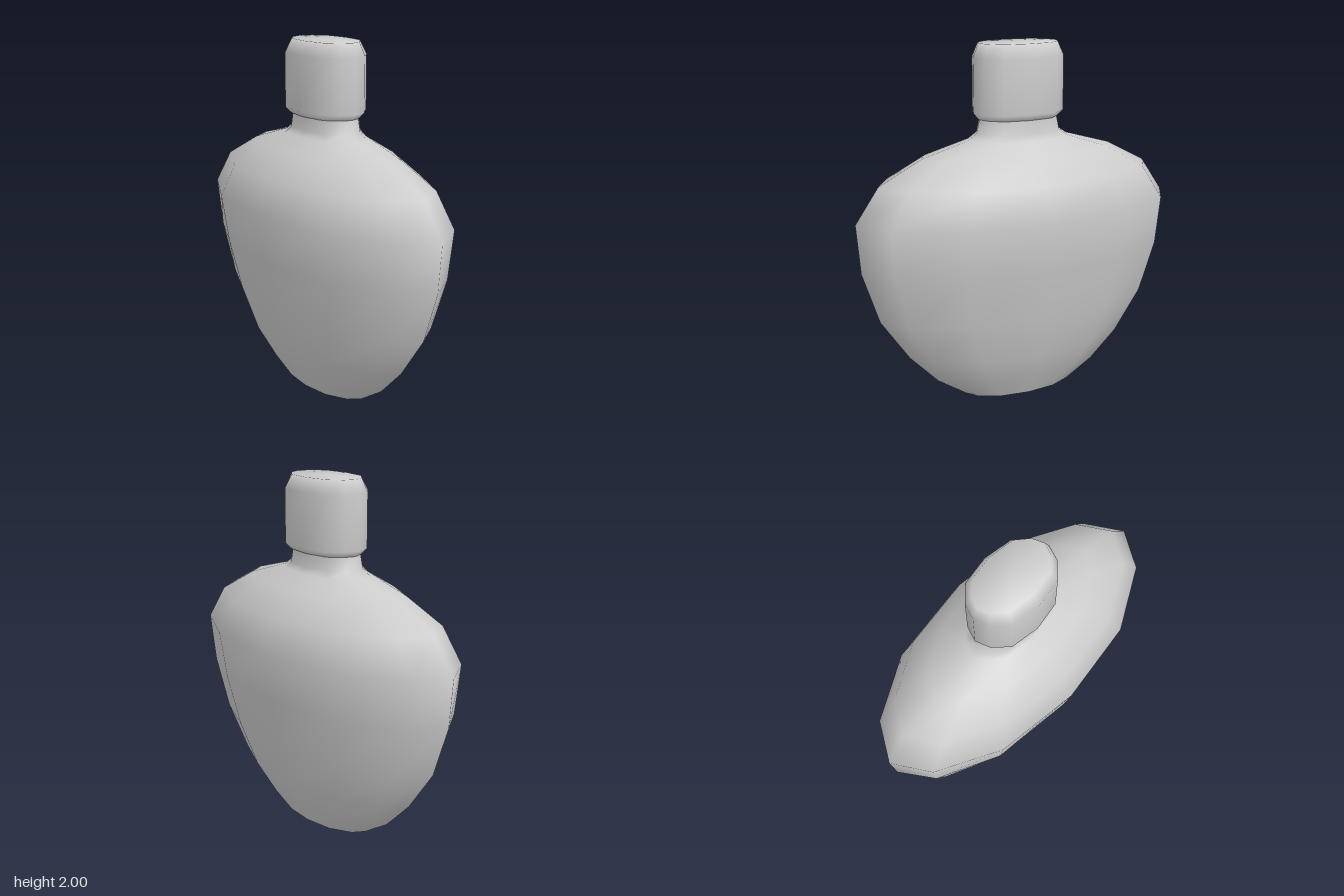
import * as THREE from 'three';

const SIDES = 12;
// quarter outlines of the cross-sections: [x, z] from front centre to the side
const OVAL = [[0, 1], [0.5, 0.866], [0.866, 0.455], [1, 0]];
const SQUARISH = [[0, 1], [0.6, 0.86], [0.89, 0.45], [1, 0]];

// full 12-point outline, counter-clockwise seen from above, mirrored from the quarter
function outline(quarter) {
  const back = quarter.slice(0, 3).reverse().map(([x, z]) => [x, -z]);
  const half = [...quarter, ...back];
  const other = half.slice(1, 6).reverse().map(([x, z]) => [-x, z]);
  return [...half, ...other];
}

// smooth skin over rings given as [y, radius x, radius z, outline]
function loft(rings, closeTop) {
  const pos = [], index = [];
  const addRing = ([y, rx, rz, quarter]) =>
    outline(quarter).forEach(([x, z]) => pos.push(x * rx, y, z * rz));
  rings.forEach(addRing);
  for (let i = 0; i < rings.length - 1; i++) {
    for (let j = 0; j < SIDES; j++) {
      const k = (j + 1) % SIDES;
      const a = i * SIDES + j, b = i * SIDES + k;
      index.push(a, b, b + SIDES, a, b + SIDES, a + SIDES);
    }
  }
  // flat underside with its own vertices, for a sharp rim
  const base = pos.length / 3;
  addRing(rings[0]);
  for (let j = 1; j < SIDES - 1; j++) index.push(base, base + j + 1, base + j);
  // top shares the last ring, so its rim shades softly
  if (closeTop) {
    const top = (rings.length - 1) * SIDES, centre = pos.length / 3;
    pos.push(0, rings[rings.length - 1][0], 0);
    for (let j = 0; j < SIDES; j++) index.push(top + j, top + (j + 1) % SIDES, centre);
  }
  const geometry = new THREE.BufferGeometry();
  geometry.setAttribute('position', new THREE.Float32BufferAttribute(pos, 3));
  geometry.setIndex(index);
  geometry.computeVertexNormals();
  return geometry;
}

export function createModel() {
  const group = new THREE.Group();
  group.name = 'flask';
  const material = new THREE.MeshStandardMaterial({ color: 0xcccccc, side: THREE.DoubleSide });
  const add = (name, geometry) => {
    const mesh = new THREE.Mesh(geometry, material);
    mesh.name = name;
    group.add(mesh);
  };

  // flattened body rising into the short neck
  add('body', loft([
    [0, 0.335, 0.147, OVAL],
    [0.11, 0.505, 0.205, OVAL],
    [0.28, 0.67, 0.287, OVAL],
    [0.52, 0.835, 0.348, OVAL],
    [0.81, 0.93, 0.408, OVAL],
    [1.085, 0.952, 0.453, OVAL],
    [1.275, 0.82, 0.392, OVAL],
    [1.4, 0.58, 0.275, OVAL],
    [1.48, 0.3, 0.165, SQUARISH],
    [1.515, 0.25, 0.146, SQUARISH],
    [1.6, 0.23, 0.14, SQUARISH],
  ], false));

  // stopper with bevelled rims
  add('cap', loft([
    [1.59, 0.235, 0.147, SQUARISH],
    [1.625, 0.267, 0.182, SQUARISH],
    [1.925, 0.267, 0.182, SQUARISH],
    [2, 0.235, 0.143, SQUARISH],
  ], true));

  return group;
}
